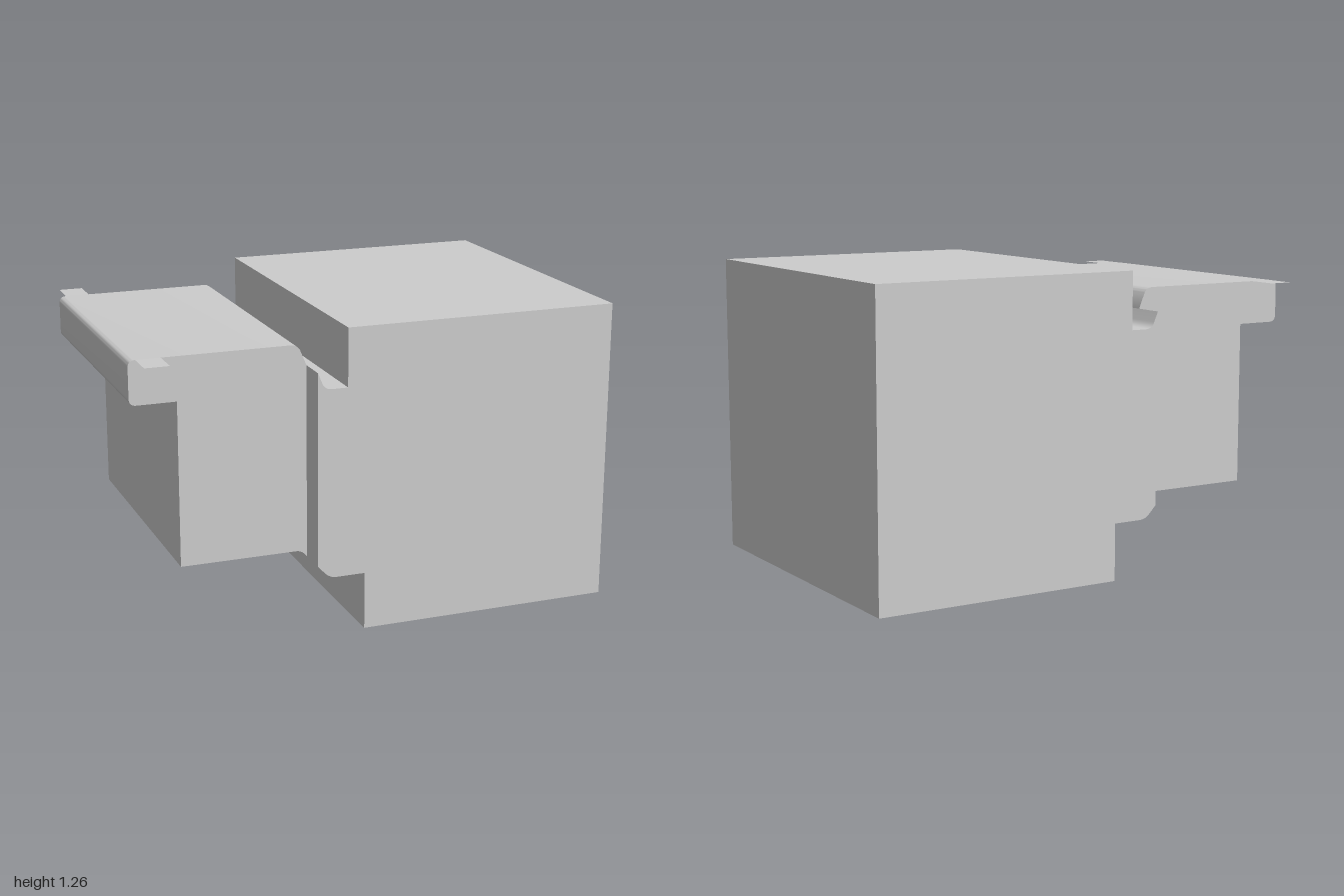
import * as THREE from 'three';
import { toCreasedNormals } from 'three/addons/utils/BufferGeometryUtils.js';

const material = new THREE.MeshStandardMaterial({ color: 0xcccccc });
const sheetMaterial = new THREE.MeshStandardMaterial({ color: 0xcccccc, side: THREE.DoubleSide });

// Closed outline from [x, y, filletLength] corners
function filletedShape(corners) {
  const shape = new THREE.Shape();
  const n = corners.length;
  corners.forEach(([x, y, r = 0], i) => {
    const p = new THREE.Vector2(x, y);
    const toward = (c) => new THREE.Vector2(c[0], c[1]).sub(p).setLength(r).add(p);
    const a = r ? toward(corners[(i + n - 1) % n]) : p;
    if (i === 0) shape.moveTo(a.x, a.y);
    else shape.lineTo(a.x, a.y);
    if (r) {
      const b = toward(corners[(i + 1) % n]);
      shape.quadraticCurveTo(x, y, b.x, b.y);
    }
  });
  shape.closePath();
  return shape;
}

// Profile extruded along z, centred on z = 0
function profileBlock(name, corners, halfDepth) {
  const geometry = new THREE.ExtrudeGeometry(filletedShape(corners), {
    depth: 2 * halfDepth, bevelEnabled: false, curveSegments: 8,
  });
  geometry.translate(0, 0, -halfDepth);
  const mesh = new THREE.Mesh(toCreasedNormals(geometry, 0.6), material);
  mesh.name = name;
  return mesh;
}

export function createModel() {
  const group = new THREE.Group();
  group.name = 'steppedBlock';
  const wide = 0.705, narrow = 0.575, joint = -0.28;

  // Large body with the groove on top and the step underneath
  group.add(profileBlock('mainBody', [
    [joint, 0.293], [-0.23, 0.24, 0.03], [-0.08, 0.24], [-0.08, 0],
    [1, 0], [1, 1.265], [-0.155, 1.265], [-0.155, 1.025],
    [-0.252, 1.025, 0.03], [joint, 1.094],
  ], wide));

  // Narrower extension with its overhanging rounded lip
  group.add(profileBlock('extensionWithLip', [
    [-1, 1, 0.03], [-0.81, 1], [-0.81, 0.32], [-0.305, 0.32, 0.022],
    [joint, 0.293], [joint, 1.094], [-0.316, 1.18, 0.03], [-1, 1.18, 0.03],
  ], narrow));

  // Thin tabs projecting from both ends of the lip
  for (const side of [1, -1]) {
    const tab = new THREE.Mesh(new THREE.PlaneGeometry(0.1, wide - narrow).rotateX(-Math.PI / 2), sheetMaterial);
    tab.position.set(-0.92, 1.18, side * (wide + narrow) / 2);
    tab.name = side > 0 ? 'frontTab' : 'backTab';
    group.add(tab);
  }
  return group;
}
